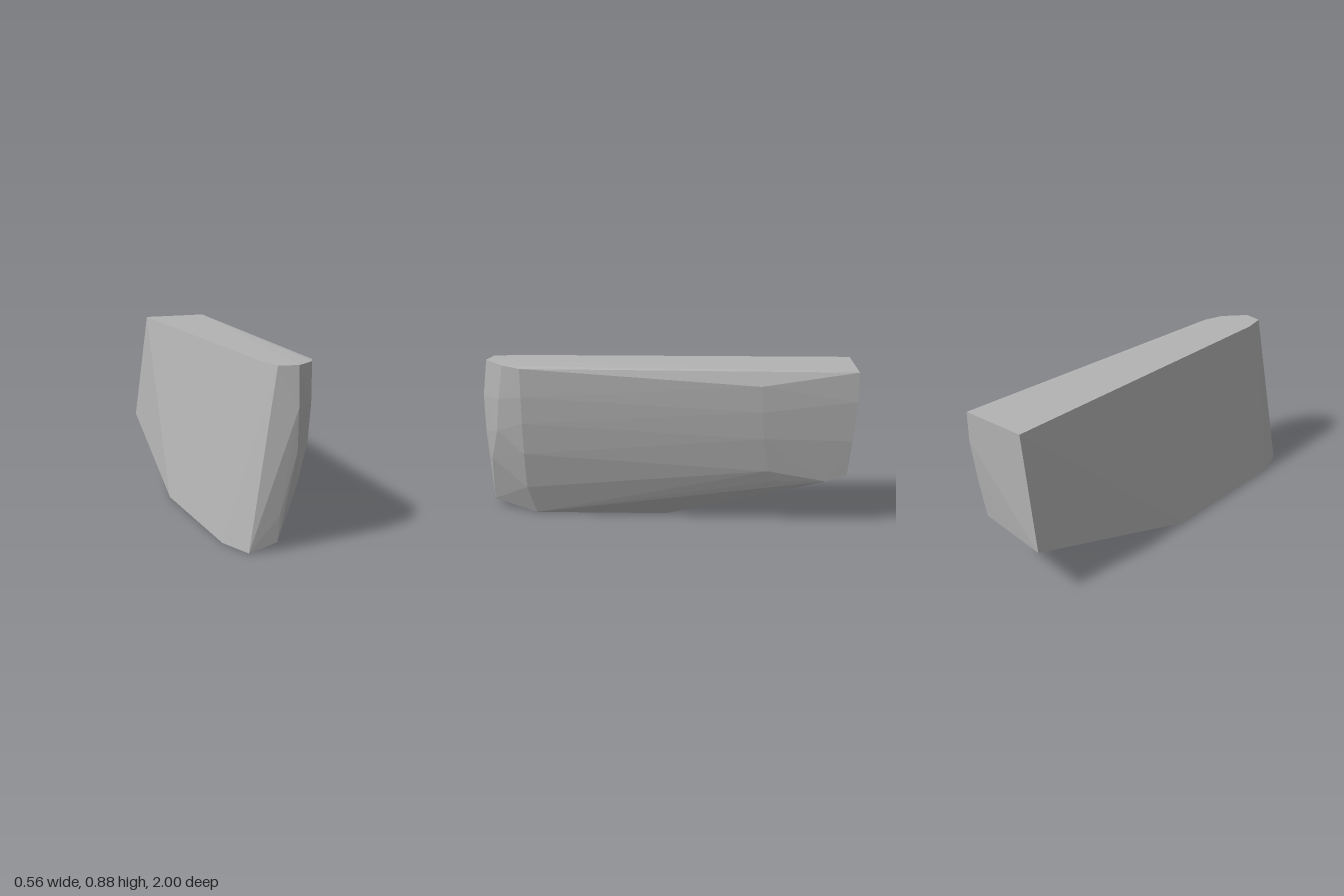
import * as THREE from 'three';
import { ConvexGeometry } from 'three/addons/geometries/ConvexGeometry.js';

// A faceted convex block: every ridge is a short run of [x, y, z] corners.
const TOP = 0.877;
const ridges = {
  // straight slanted side, seen from the front of the block to its back
  slantedSide: [
    [-0.285, 0, 0.8], [-0.285, 0, 0], [-0.18, 0.26, -1],
    [-0.097, TOP, 0.83], [-0.097, TOP, -1],
  ],
  // leaning front edge next to the slanted side
  frontEdge: [[-0.222, 0, 0.98], [-0.073, TOP, 0.952]],
  // foremost ridge
  nose: [
    [-0.08, 0.04, 0.985], [-0.072, 0.17, 0.99], [0.012, 0.47, 0.997],
    [0.015, 0.68, 1], [0.025, TOP, 0.975],
  ],
  // rounding between nose and curved side
  cheek: [[0.03, 0.32, 0.968], [0.1, 0.5, 0.92], [0.125, 0.68, 0.9], [0.14, 0.872, 0.87]],
  // front rib of the curved side
  frontRib: [
    [0.03, 0, 0.73], [0.09, 0.17, 0.77], [0.145, 0.38, 0.77],
    [0.172, 0.56, 0.77], [0.185, 0.71, 0.77], [0.188, 0.865, 0.77],
  ],
  // widest rib of the curved side
  rearRib: [
    [0.2, 0.26, -0.6], [0.222, 0.32, -0.55], [0.257, 0.51, -0.52],
    [0.274, 0.66, -0.51], [0.28, 0.8, -0.5],
  ],
  // rear edge of the curved side and the start of the underside ramp
  backEdge: [
    [0.212, 0.262, -0.86], [0.216, 0.3, -0.97], [0.25, 0.5, -0.985],
    [0.273, 0.72, -1], [0.275, TOP, -1], [0.03, 0, 0],
  ],
};

export function createModel() {
  const group = new THREE.Group();
  group.name = 'facetedBlock';

  const grey = new THREE.MeshStandardMaterial({ color: 0xb3b3b3 });
  grey.name = 'plain grey';
  grey.flatShading = true;

  const corners = Object.values(ridges).flat().map((p) => new THREE.Vector3(...p));
  const block = new THREE.Mesh(new ConvexGeometry(corners), grey);
  block.name = 'block';
  group.add(block);
  return group;
}
